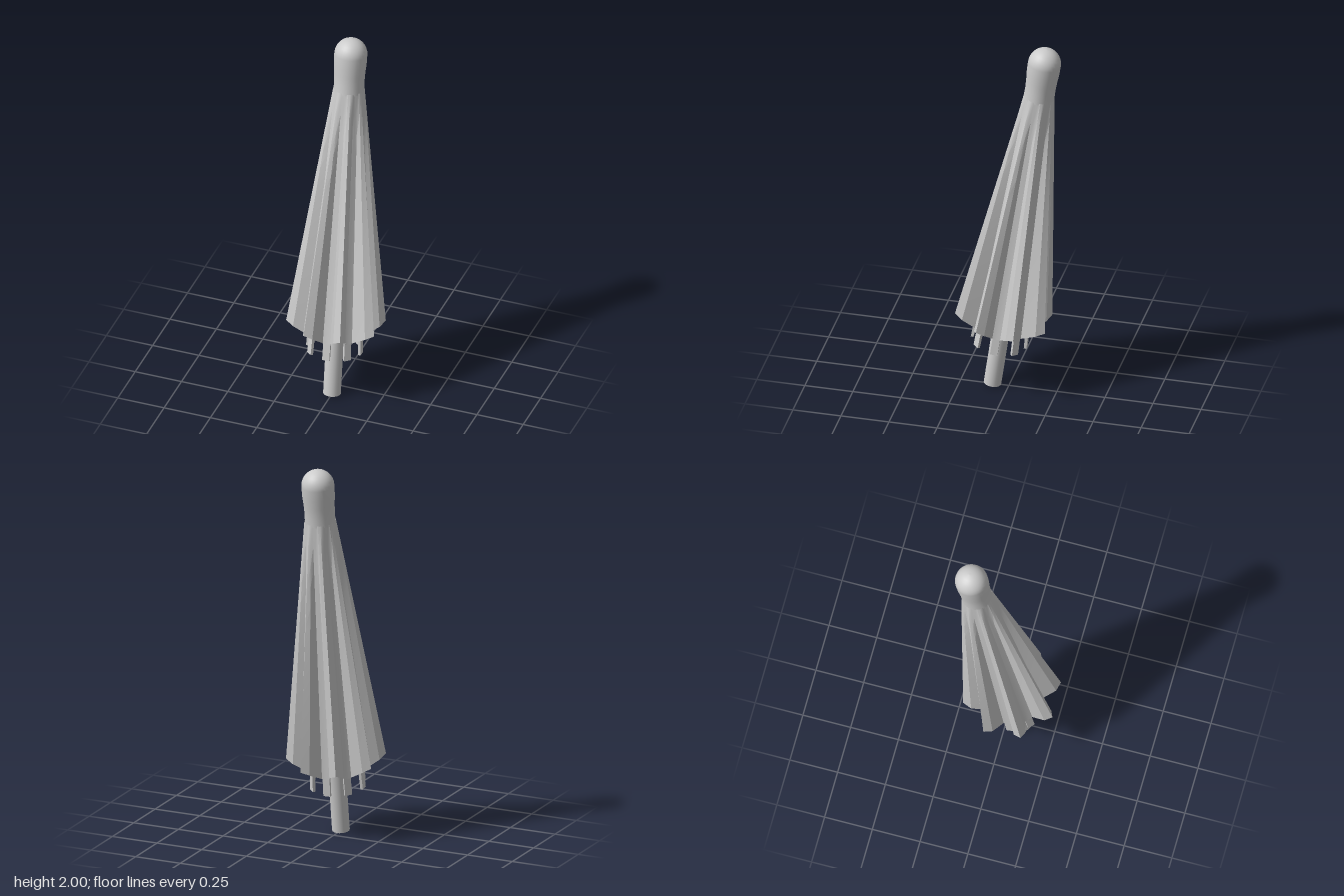
import * as THREE from 'three';
import { toCreasedNormals } from 'three/addons/utils/BufferGeometryUtils.js';

const RIBS = 8;
const STEP = (Math.PI * 2) / RIBS;
const DEG = Math.PI / 180;
const START = 20 * DEG;
const NECK_Y = 1.73;

// One fold of the fabric: [angle offset, hem radius, hem height, neck radius]
const FOLD = [
  [0, 0.253, 0.412, 0.08],
  [8, 0.222, 0.392, 0.079],
  [14.5, 0.146, 0.345, 0.077],
  [22.5, 0.143, 0.34, 0.077],
  [30.5, 0.146, 0.345, 0.077],
  [37, 0.222, 0.392, 0.079],
];

function canopyGeometry() {
  const rows = 12;
  const cols = RIBS * FOLD.length;
  const positions = [];
  const index = [];
  for (let j = 0; j <= rows; j++) {
    const t = j / rows;
    for (let i = 0; i < cols; i++) {
      const [offset, hemR, hemY, neckR] = FOLD[i % FOLD.length];
      const a = START + Math.floor(i / FOLD.length) * STEP + offset * DEG;
      const r = THREE.MathUtils.lerp(hemR, neckR, t);
      positions.push(r * Math.cos(a), THREE.MathUtils.lerp(hemY, NECK_Y, t), r * Math.sin(a));
    }
  }
  for (let j = 0; j < rows; j++) {
    for (let i = 0; i < cols; i++) {
      const a = j * cols + i;
      const b = j * cols + ((i + 1) % cols);
      index.push(a, a + cols, b, b, a + cols, b + cols);
    }
  }
  const g = new THREE.BufferGeometry();
  g.setAttribute('position', new THREE.Float32BufferAttribute(positions, 3));
  g.setIndex(index);
  return toCreasedNormals(g, 0.6);
}

export function createModel() {
  const model = new THREE.Group();
  const parasol = new THREE.Group();
  parasol.name = 'closedParasol';
  const material = new THREE.MeshStandardMaterial({ color: 0xcccccc });
  const fabric = new THREE.MeshStandardMaterial({ color: 0xcccccc, side: THREE.DoubleSide });

  const add = (name, geometry, mat = material) => {
    const mesh = new THREE.Mesh(geometry, mat);
    mesh.name = name;
    parasol.add(mesh);
    return mesh;
  };

  // Folded canopy
  add('canopy', canopyGeometry(), fabric);

  // Neck flaring into a rounded cap
  const profile = [[0.078, 1.72], [0.077, 1.77], [0.079, 1.82], [0.083, 1.87]];
  for (let k = 0; k <= 8; k++) {
    const a = (k / 8) * Math.PI / 2;
    profile.push([0.084 * Math.cos(a), 1.924 + 0.084 * Math.sin(a)]);
  }
  add('cap', new THREE.LatheGeometry(profile.map(([x, y]) => new THREE.Vector2(Math.max(x, 0), y)), 32), fabric);

  // Pole
  add('pole', new THREE.CylinderGeometry(0.045, 0.045, 1.85, 24)).position.y = 0.925;

  // Flat rib ends hanging below each valley of the fabric
  const length = 0.35;
  const lean = 0.05;
  for (let i = 0; i < RIBS; i++) {
    const a = START + (i + 0.5) * STEP;
    const r = 0.138 - lean * length / 2;
    const rib = add('rib', new THREE.BoxGeometry(0.014, length, 0.038));
    rib.position.set(r * Math.cos(a), 0.25 + length / 2, r * Math.sin(a));
    rib.rotation.set(0, -a, lean);
  }

  // The whole parasol leans backwards
  parasol.rotation.x = -0.141;
  parasol.position.set(0, 0.0065, 0.085);
  model.add(parasol);
  return model;
}
